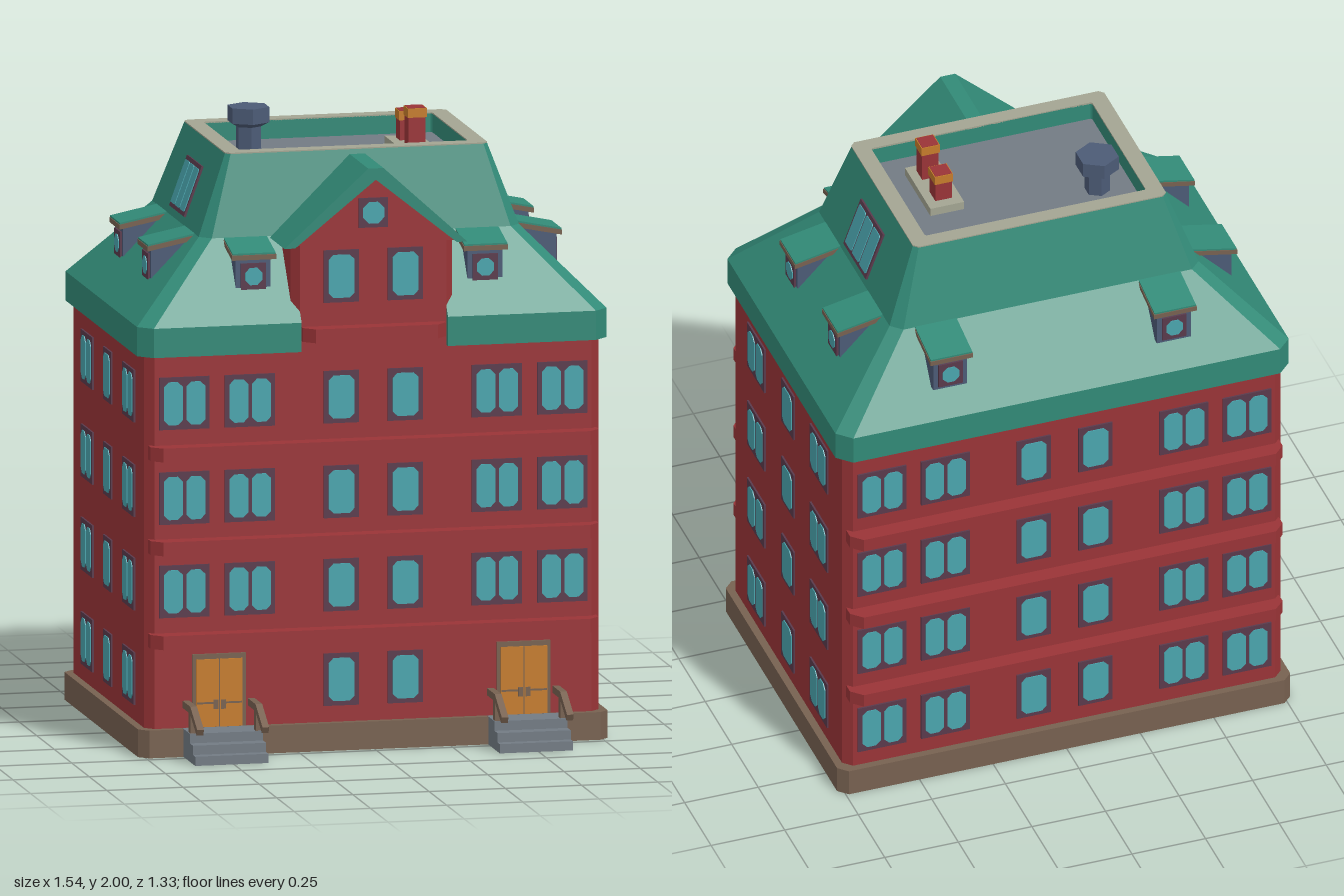
import * as THREE from 'three';

const mat = (name, color) => {
  const m = new THREE.MeshStandardMaterial({ color });
  m.name = name;
  return m;
};
const brick = mat('brick red', 0x9a3437), green = mat('roof green', 0x328a77),
  brown = mat('wood brown', 0x776150), glass = mat('window teal', 0x4aa5ae),
  frame = mat('frame plum', 0x5a3a4c), slate = mat('slate blue', 0x4c5b76),
  grey = mat('concrete grey', 0x727b84), stone = mat('rim stone', 0xa3a592),
  orange = mat('door orange', 0xc67c2b);

const add = (parent, name, geo, m, x = 0, y = 0, z = 0) => {
  const mesh = new THREE.Mesh(geo, m);
  mesh.name = name;
  mesh.position.set(x, y, z);
  parent.add(mesh);
  return mesh;
};
const box = (w, h, d) => new THREE.BoxGeometry(w, h, d);
const poly = (pts) => new THREE.Shape(pts.map(([x, y]) => new THREE.Vector2(x, y)));
const extrude = (shape, depth) => new THREE.ExtrudeGeometry(shape, { depth, bevelEnabled: false });

// Profile drawn in (z, y), extruded across x and centred
const sideProfile = (pts, width) => extrude(poly(pts), width).rotateY(-Math.PI / 2).translate(width / 2, 0, 0);

// Rectangle with cut corners
const octagon = (w, h, c) => {
  const x = w / 2, y = h / 2;
  return [[x, c - y], [x, y - c], [x - c, y], [c - x, y], [-x, y - c], [-x, c - y], [c - x, -y], [x - c, -y]];
};
// Upright block with chamfered corners, from y0 to y1
const block = (hw, zf, zb, c, y0, y1) =>
  extrude(poly(octagon(hw * 2, zf - zb, c)), y1 - y0).rotateX(-Math.PI / 2).translate(0, y0, (zf + zb) / 2);

const singlePane = extrude(poly(octagon(0.085, 0.14, 0.016)), 0.003);
const narrowPane = extrude(poly(octagon(0.062, 0.14, 0.016)), 0.003);
const smallPane = extrude(poly(octagon(0.056, 0.056, 0.016)), 0.003);

// A window facing +z; panes lists [geometry, x]
function windowUnit(w, h, panes) {
  const g = new THREE.Group();
  g.name = 'window';
  add(g, 'windowFrame', box(w, h, 0.008), frame, 0, 0, 0.002);
  for (const [geo, x] of panes) add(g, 'windowPane', geo, glass, x, 0, 0.006);
  return g;
}
const single = () => windowUnit(0.115, 0.17, [[singlePane, 0]]);
const double = () => windowUnit(0.165, 0.17, [[narrowPane, -0.037], [narrowPane, 0.037]]);

function place(parent, obj, x, y, z, turn = 0) {
  obj.position.set(x, y, z);
  obj.rotation.y = turn;
  parent.add(obj);
  return obj;
}

// Mansard roof lofted through chamfered rings, with a front notch for the gable
function mansard() {
  const ring = ([hw, zf, zb, c, y, nz = zf]) => [
    [hw, zf - c], [hw, zb + c], [hw - c, zb], [c - hw, zb], [-hw, zb + c], [-hw, zf - c], [c - hw, zf],
    [-0.24, zf], [-0.24, nz], [0.24, nz], [0.24, zf], [hw - c, zf]].map(([x, z]) => [x, y, z]);
  const rings = [
    [0.73, 0.44, -0.6, 0.03, 1.3], [0.77, 0.475, -0.635, 0.045, 1.3, 0.44],
    [0.77, 0.475, -0.635, 0.045, 1.395, 0.44], [0.525, 0.28, -0.455, 0.035, 1.645],
    [0.43, 0.22, -0.39, 0.015, 1.905], [0.375, 0.17, -0.34, 0.005, 1.905], [0.375, 0.17, -0.34, 0.005, 1.84],
  ].map(ring);
  const pos = [];
  for (let r = 0; r < rings.length - 1; r++) {
    for (let i = 0; i < 12; i++) {
      const j = (i + 1) % 12, a = rings[r][i], b = rings[r][j], c = rings[r + 1][j], d = rings[r + 1][i];
      pos.push(...a, ...b, ...c, ...a, ...c, ...d);
    }
  }
  const geo = new THREE.BufferGeometry();
  geo.setAttribute('position', new THREE.Float32BufferAttribute(pos, 3));
  geo.computeVertexNormals();
  return geo;
}

// Dormer with its face at local z = 0
function dormer(d) {
  const g = new THREE.Group();
  g.name = 'dormer';
  add(g, 'dormerWalls', sideProfile([[0, 1.485], [0, 1.6], [-d, 1.635], [-d, 1.485]], 0.115), slate);
  const slab = (y, t, w, over) => sideProfile([[over, y], [over, y + t], [-d, y + t + 0.035], [-d, y + 0.035]], w);
  add(g, 'dormerFascia', slab(1.593, 0.016, 0.145, 0.015), brown);
  add(g, 'dormerRoof', slab(1.609, 0.006, 0.141, 0.013), green);
  place(g, windowUnit(0.082, 0.085, [[smallPane, 0]]), 0, 1.538, 0);
  return g;
}

// Double door, steps and railings
function entrance() {
  const g = new THREE.Group();
  g.name = 'entrance';
  add(g, 'doorFrame', box(0.175, 0.24, 0.016), brown, 0, 0.208, 0.452);
  for (const s of [-1, 1]) {
    add(g, 'doorLeaf', box(0.074, 0.22, 0.004), orange, s * 0.039, 0.202, 0.462);
    add(g, 'doorHandle', box(0.016, 0.03, 0.006), brown, s * 0.012, 0.165, 0.465);
    add(g, 'doorGroove', box(0.07, 0.006, 0.005), brown, s * 0.039, 0.17, 0.463);
    add(g, 'railing', sideProfile([[0.45, 0.155], [0.555, 0.155], [0.65, 0.1], [0.66, 0.12], [0.56, 0.178], [0.45, 0.178]], 0.022), brown, s * 0.107);
    add(g, 'railingPost', box(0.02, 0.09, 0.028), brown, s * 0.107, 0.125, 0.545);
  }
  add(g, 'steps', sideProfile([[0.46, 0], [0.64, 0], [0.64, 0.03], [0.608, 0.03], [0.608, 0.06], [0.565, 0.06], [0.565, 0.091], [0.46, 0.091]], 0.24), grey);
  return g;
}

export function createModel() {
  const model = new THREE.Group();
  model.name = 'apartmentHouse';
  const rows = [0.228, 0.535, 0.838, 1.146];

  add(model, 'plinth', block(0.77, 0.475, -0.635, 0.03, 0, 0.09), brown);
  add(model, 'walls', block(0.745, 0.45, -0.61, 0.028, 0.09, 1.31), brick);

  // Ledges between floors, front and back
  const ledge = (hw, h) => extrude(poly([[-hw, -0.435], [-hw, -0.47], [0.035 - hw, -0.505], [hw - 0.035, -0.505], [hw, -0.47], [hw, -0.435]]), h)
    .rotateX(-Math.PI / 2);
  for (const y of [0.355, 0.66, 0.965]) {
    add(model, 'frontLedge', ledge(0.735, 0.045), brick, 0, y);
    add(model, 'backLedge', ledge(0.735, 0.045).rotateY(Math.PI), brick, 0, y, -0.16);
  }
  add(model, 'gableLedge', ledge(0.235, 0.045), brick, 0, 1.332);

  // Wall windows
  rows.forEach((y, floor) => {
    for (const s of [-1, 1]) {
      place(model, single(), s * 0.105, y, 0.45);
      place(model, single(), s * 0.105, y, -0.61, Math.PI);
      for (const x of [0.405, 0.62]) {
        if (floor > 0) place(model, double(), s * x, y, 0.45);
        place(model, double(), s * x, y, -0.61, Math.PI);
      }
      const turn = s * Math.PI / 2;
      place(model, single(), s * 0.745, y, -0.083, turn);
      for (const z of [0.217, -0.375]) place(model, double(), s * 0.745, y, z, turn);
    }
  });

  for (const x of [-0.507, 0.492]) place(model, entrance(), x, 0, 0);

  // Roof, rim and flat top
  add(model, 'mansardRoof', mansard(), green);
  const rim = poly(octagon(0.86, 0.61, 0.015));
  rim.holes.push(new THREE.Path(octagon(0.75, 0.51, 0.005).map(([x, y]) => new THREE.Vector2(x, y))));
  add(model, 'roofRim', extrude(rim, 0.006).rotateX(-Math.PI / 2), stone, 0, 1.903, -0.085);
  add(model, 'flatRoof', box(0.752, 0.02, 0.512), grey, 0, 1.835, -0.085);

  // Front gable
  add(model, 'gableWall', block(0.265, 0.45, 0.2, 0.025, 1.3, 1.65), brick);
  add(model, 'gablePediment', extrude(poly([[-0.265, 1.64], [0.265, 1.64], [0, 1.86]]), 0.25), brick, 0, 0, 0.2);
  add(model, 'gableRoof', extrude(poly([[0.3, 1.64], [0.025, 1.89], [-0.025, 1.89], [-0.3, 1.64], [-0.265, 1.64], [0, 1.853], [0.265, 1.64]]), 0.285), green, 0, 0, 0.205);
  for (const s of [-1, 1]) place(model, single(), s * 0.105, 1.538, 0.45);
  place(model, windowUnit(0.096, 0.096, [[extrude(poly(octagon(0.07, 0.07, 0.02)), 0.003), 0]]), 0, 1.74, 0.45);

  // Dormers and sloped roof windows
  const roofPane = extrude(poly(octagon(0.058, 0.145, 0.004)), 0.003);
  for (const s of [-1, 1]) {
    place(model, dormer(0.13), s * 0.38, 0, 0.392);
    place(model, dormer(0.15), s * 0.38, 0, -0.59, Math.PI);
    for (const z of [-0.285, 0.115]) place(model, dormer(0.16), s * 0.665, 0, z, s * Math.PI / 2);
    const skylight = windowUnit(0.21, 0.172, [-0.066, 0, 0.066].map((x) => [roofPane, x]));
    skylight.name = 'roofWindow';
    skylight.rotation.order = 'YXZ';
    skylight.rotation.x = -0.35;
    place(model, skylight, s * 0.488, 1.75, -0.083, s * Math.PI / 2);
  }

  // Chimneys on a shared pad
  add(model, 'chimneyPad', box(0.115, 0.03, 0.24), stone, 0.235, 1.858, -0.04);
  for (const [z, top] of [[0.027, 2], [-0.097, 1.97]]) {
    add(model, 'chimney', box(0.056, top - 1.85, 0.056), brick, 0.235, (top + 1.85) / 2, z);
    add(model, 'chimneyBand', box(0.062, 0.03, 0.062), orange, 0.235, top - 0.0165, z);
  }

  // Hexagonal roof vent
  const hex = (top, bottom, h) => new THREE.CylinderGeometry(top, bottom, h, 6).toNonIndexed();
  const ventParts = [['ventStem', hex(0.042, 0.042, 0.09), 1.885], ['ventFlare', hex(0.07, 0.042, 0.015), 1.924], ['ventCap', hex(0.07, 0.07, 0.05), 1.956]];
  for (const [name, geo, y] of ventParts) {
    geo.computeVertexNormals();
    add(model, name, geo, slate, -0.26, y, -0.2);
  }
  return model;
}
